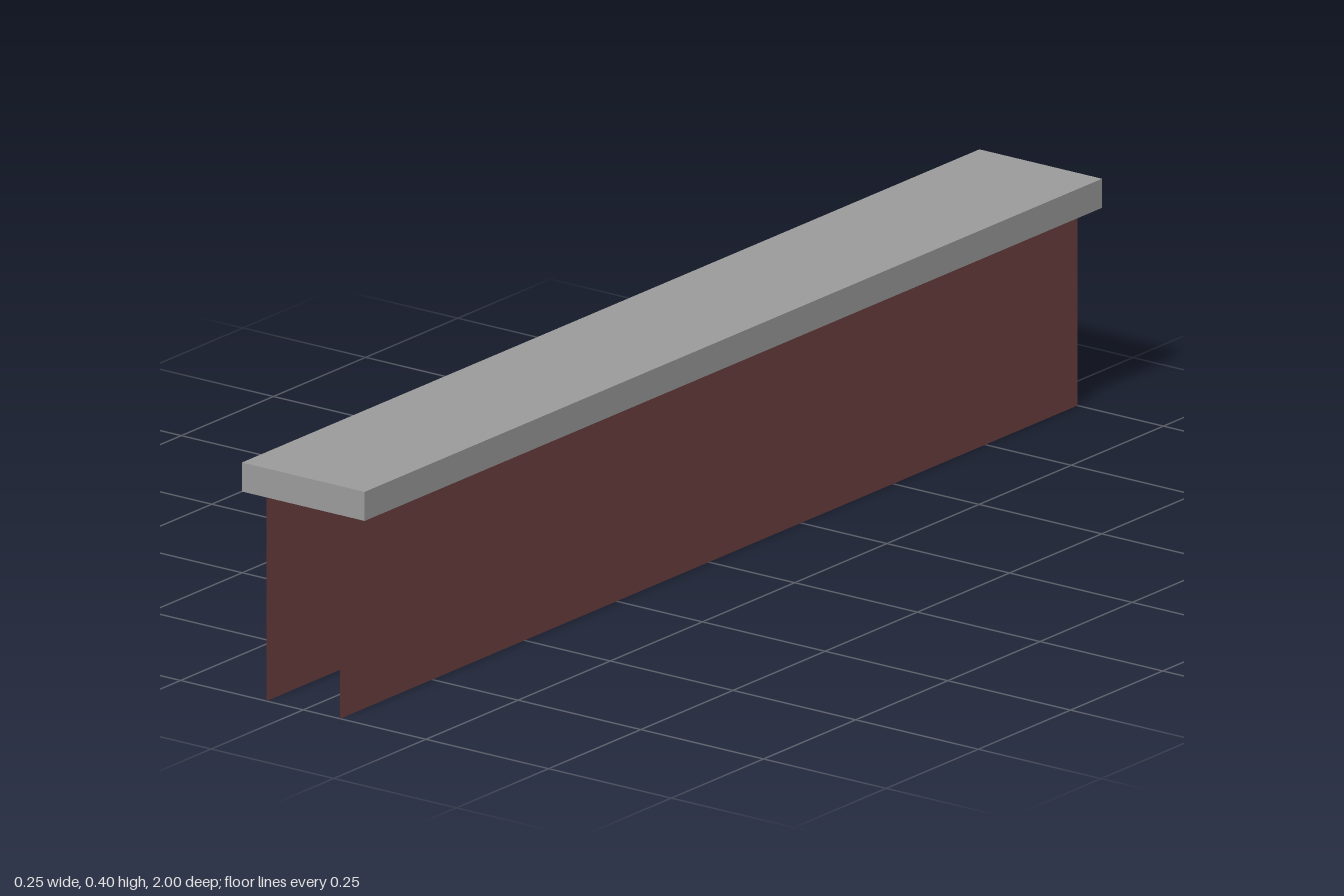
import * as THREE from 'three';

export function createModel() {
  const model = new THREE.Group();
  model.name = 'wall';

  const stone = new THREE.MeshStandardMaterial({ color: 0x9c9c9c });
  stone.name = 'grey stone';
  const brick = new THREE.MeshStandardMaterial({ color: 0x6e4141 });
  brick.name = 'dark red brick';
  brick.side = THREE.DoubleSide;

  const length = 2, capWidth = 0.25, capHeight = 0.05, wallHeight = 0.35;

  // Flat coping slab along the top
  const cap = new THREE.Mesh(new THREE.BoxGeometry(capWidth, capHeight, length), stone);
  cap.name = 'copingSlab';
  cap.position.y = wallHeight + capHeight / 2;
  model.add(cap);

  // Two thin upright faces, open at the ends and the bottom
  for (const side of [-1, 1]) {
    const face = new THREE.Mesh(new THREE.PlaneGeometry(length, wallHeight), brick);
    face.name = side > 0 ? 'leftWallFace' : 'rightWallFace';
    face.rotation.y = side * Math.PI / 2;
    face.position.set(side * 0.075, wallHeight / 2, 0);
    model.add(face);
  }

  return model;
}
